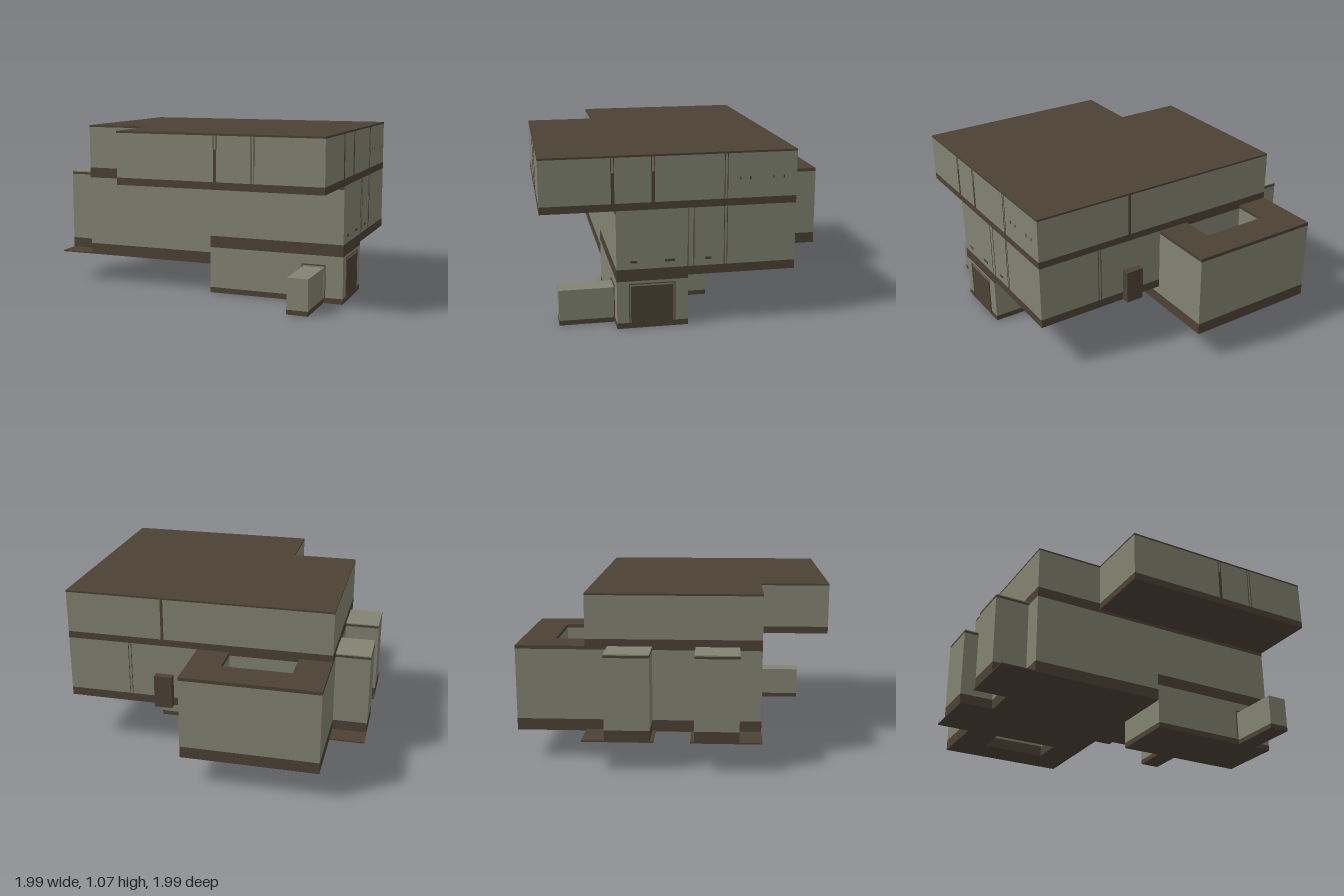
import * as THREE from 'three';

export function createModel() {
  const model = new THREE.Group();
  const wall = new THREE.MeshStandardMaterial({ color: 0x828371 });
  wall.name = 'greyPlaster';
  const brown = new THREE.MeshStandardMaterial({ color: 0x4c4134 });
  brown.name = 'darkBrown';

  // Box given by its limits
  function box(name, x0, x1, y0, y1, z0, z1, mat, parent = model) {
    const mesh = new THREE.Mesh(new THREE.BoxGeometry(x1 - x0, y1 - y0, z1 - z0), mat);
    mesh.position.set((x0 + x1) / 2, (y0 + y1) / 2, (z0 + z1) / 2);
    mesh.name = name;
    parent.add(mesh);
    return mesh;
  }

  // Storey: one footprint of [x, z] corners, extruded as stacked coloured layers
  function storey(name, outline, layers, hole) {
    const group = new THREE.Group();
    group.name = name;
    const toPoints = (list) => list.map(([x, z]) => new THREE.Vector2(x, -z));
    const shape = new THREE.Shape(toPoints(outline));
    if (hole) shape.holes.push(new THREE.Path(toPoints(hole)));
    for (const [y0, y1, mat] of layers) {
      const geo = new THREE.ExtrudeGeometry(shape, { depth: y1 - y0, bevelEnabled: false });
      geo.rotateX(-Math.PI / 2).translate(0, y0, 0);
      const mesh = new THREE.Mesh(geo, mat);
      mesh.name = mat === wall ? name + 'Wall' : name + 'Band';
      group.add(mesh);
    }
    model.add(group);
  }
  const rect = (x0, x1, z0, z1) => [[x0, z0], [x0, z1], [x1, z1], [x1, z0]];

  // Upper storey with front overhang
  storey('upperStorey',
    [[-0.775, -0.56], [0.99, -0.56], [0.99, 0.99], [-0.33, 0.99], [-0.33, 0.545], [-0.775, 0.545]],
    [[0.74, 0.785, brown], [0.785, 1.06, wall], [1.06, 1.072, brown]]);

  // Middle storey: deep wing with a rear light well, and the raised wing
  storey('deepWing', rect(-0.775, 0.105, -1, 0.545),
    [[0.19, 0.265, brown], [0.265, 0.718, wall], [0.718, 0.74, brown]],
    rect(-0.56, -0.11, -0.78, -0.56));
  storey('raisedWing', rect(0.105, 0.99, -0.56, 0.545),
    [[0.32, 0.375, brown], [0.375, 0.74, wall]]);
  box('frontTopBand', 0.105, 0.99, 0.718, 0.74, 0.543, 0.547, brown);

  // Ground floor entrance block
  storey('groundFloor', rect(0.105, 0.99, 0.11, 0.545),
    [[0, 0.035, brown], [0.035, 0.3, wall], [0.3, 0.32, brown]]);

  // Low blocks in front of and behind the ground floor
  storey('frontBlock', rect(0.735, 0.868, 0.545, 0.885), [[0, 0.03, brown], [0.03, 0.225, wall]]);
  storey('rearBlock', rect(0.37, 0.5, -0.11, 0.11), [[0, 0.03, brown], [0.03, 0.225, wall]]);

  // Trim around the front block
  for (const x of [0.724, 0.874]) box('blockTrimSide', x, x + 0.005, 0.03, 0.24, 0.543, 0.55, brown);
  box('blockTrimTop', 0.724, 0.879, 0.235, 0.242, 0.543, 0.55, brown);

  // Two side shafts on floor plates
  for (const [p0, p1, s0, s1] of [[-0.56, -0.12, -0.42, -0.14], [0.105, 0.545, 0.13, 0.405]]) {
    box('shaftFloorPlate', -1, -0.775, 0.19, 0.199, p0, p1, brown);
    storey('sideShaft', rect(-1, -0.775, s0, s1),
      [[0.199, 0.265, brown], [0.265, 0.718, wall], [0.718, 0.733, brown], [0.733, 0.74, wall]]);
  }

  // Rear wall unit
  box('rearWallUnit', 0.27, 0.39, 0.32, 0.54, -0.61, -0.56, brown);

  // Side door with its frame
  box('door', 0.988, 0.993, 0.02, 0.268, 0.2, 0.46, brown);
  for (const z of [0.188, 0.466]) box('doorFrameSide', 0.988, 0.993, 0.02, 0.284, z, z + 0.006, brown);
  box('doorFrameTop', 0.988, 0.993, 0.278, 0.284, 0.188, 0.472, brown);

  // Panel joints on the right side: filled strips, or a pair of fine lines
  const sideJoint = (z, y0, y1, w) => box('sideJoint', 0.988, 0.992, y0, y1, z - w / 2, z + w / 2, brown);
  sideJoint(0.56, 0.785, 0.97, 0.02);
  sideJoint(0.32, 0.785, 0.97, 0.02);
  for (const [z, gap, y0, y1] of [
    [0.56, 0.009, 0.97, 1.06], [0.32, 0.009, 0.97, 1.06], [-0.122, 0.009, 0.785, 1.06],
    [-0.122, 0.009, 0.375, 0.74], [0.092, 0.018, 0.375, 0.74],
  ]) for (const s of [-1, 1]) sideJoint(z + s * gap, y0, y1, 0.004);

  // Panel joints on the front and back
  const faceJoint = (x, z, y0, y1, w) => box('faceJoint', x - w / 2, x + w / 2, y0, y1, z - 0.002, z + 0.002, brown);
  faceJoint(0.32, 0.99, 0.785, 0.98, 0.02);
  for (const s of [-1, 1]) {
    faceJoint(0.32 + s * 0.009, 0.99, 0.98, 1.06, 0.004);
    faceJoint(0.556 + s * 0.009, 0.99, 0.785, 1.06, 0.004);
    faceJoint(0.565 + s * 0.009, -0.56, 0.375, 0.74, 0.004);
  }
  faceJoint(0.34, -0.56, 0.785, 1.06, 0.018);

  // Small vents on the right side
  for (const [z, w] of [[0.44, 0.04], [0.22, 0.06], [-0.015, 0.04]])
    box('vent', 0.988, 0.992, 0.413, 0.428, z - w / 2, z + w / 2, brown);
  for (const z of [-0.21, -0.27, -0.415, -0.48])
    box('smallVent', 0.988, 0.992, 0.897, 0.917, z - 0.004, z + 0.004, brown);

  return model;
}
